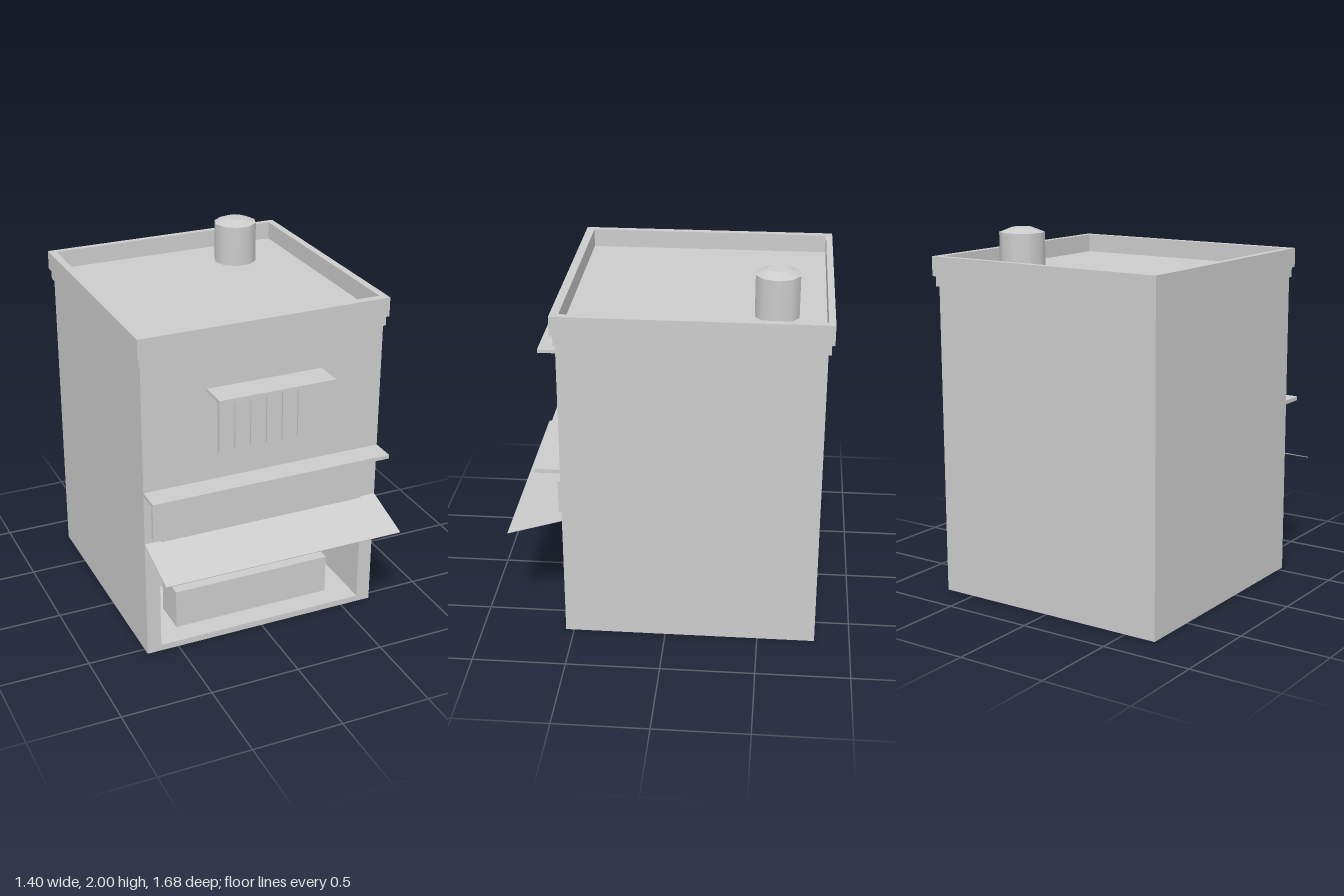
import * as THREE from 'three';

export function createModel() {
  const model = new THREE.Group();
  const plaster = new THREE.MeshStandardMaterial({ color: 0xcccccc });
  plaster.name = 'pale grey';

  function add(name, geometry) {
    const mesh = new THREE.Mesh(geometry, plaster);
    mesh.name = name;
    model.add(mesh);
    return mesh;
  }
  // Box given by its limits on each axis
  function box(name, x0, x1, y0, y1, z0, z1) {
    const mesh = add(name, new THREE.BoxGeometry(x1 - x0, y1 - y0, z1 - z0));
    mesh.position.set((x0 + x1) / 2, (y0 + y1) / 2, (z0 + z1) / 2);
    return mesh;
  }
  function rect(path, x0, x1, y0, y1) {
    path.moveTo(x0, y0);
    path.lineTo(x1, y0);
    path.lineTo(x1, y1);
    path.lineTo(x0, y1);
    path.closePath();
    return path;
  }
  function ring(outer, inner, depth) {
    const shape = rect(new THREE.Shape(), ...outer);
    shape.holes.push(rect(new THREE.Path(), ...inner));
    return new THREE.ExtrudeGeometry(shape, { depth, bevelEnabled: false });
  }

  // Building: solid rear, front part with the shop opening
  const FRONT = 0.545, BACK = -0.81, ROOM = 0;
  box('rearBody', -0.68, 0.68, 0, 1.7, BACK, ROOM);
  const front = add('frontBody', ring([-0.68, 0.68, 0, 1.7], [-0.6, 0.6, 0.035, 0.63], FRONT - ROOM));
  front.position.z = ROOM;

  // Cornice, roof deck and parapet
  box('cornice', -0.69, 0.69, 1.69, 1.75, -0.825, 0.555);
  const parapet = add('parapet', ring([-0.7, 0.7, -0.57, 0.84], [-0.66, 0.66, -0.525, 0.805], 0.105));
  parapet.rotation.x = -Math.PI / 2;
  parapet.position.y = 1.745;

  // Roof vent with bevelled cap
  const vent = new THREE.Group();
  vent.name = 'roofVent';
  const pipe = new THREE.Mesh(new THREE.CylinderGeometry(0.12, 0.12, 0.225, 10, 1, true, Math.PI / 2), plaster);
  pipe.name = 'ventPipe';
  pipe.position.y = 0.1125;
  const cap = new THREE.Mesh(new THREE.CylinderGeometry(0.055, 0.12, 0.025, 10, 1, false, Math.PI / 2), plaster);
  cap.name = 'ventCap';
  cap.position.y = 0.2375;
  vent.add(pipe, cap);
  vent.position.set(0.325, 1.75, -0.55);
  model.add(vent);

  // Slatted window with its canopy
  box('windowPanel', -0.27, 0.27, 1.12, 1.47, FRONT - 0.01, 0.555);
  for (let i = 0; i < 6; i++) {
    const x = -0.27 + i * 0.09;
    box('windowSlat', x + 0.003, x + 0.087, 1.15, 1.44, 0.55, 0.569);
  }
  box('windowCanopy', -0.325, 0.325, 1.492, 1.51, FRONT - 0.01, 0.705);

  // Ledge and blank sign board
  box('ledge', -0.68, 0.68, 0.968, 0.99, FRONT - 0.01, 0.68);
  box('signBoard', -0.64, 0.64, 0.715, 0.9, FRONT - 0.01, 0.567);
  box('signBacking', -0.59, 0.59, 0.63, 0.72, FRONT - 0.01, 0.555);

  // Sloping awning, a thin sheet
  const drop = 0.09, reach = 0.84 - FRONT;
  const awning = box('awning', -0.68, 0.68, 0, Math.hypot(drop, reach), 0, 0.004);
  awning.position.set(0, 0.64, FRONT + reach / 2);
  awning.rotation.x = Math.PI / 2 + Math.atan2(drop, reach);

  // Shop interior: counter, shelves and goods
  box('counter', -0.46, 0.46, 0.035, 0.26, 0.22, 0.42);
  for (const y of [0.21, 0.4]) box('shelf', -0.6, 0.6, y - 0.01, y, ROOM, 0.16);

  // Each item is [centre x, width, height]
  const upper = [
    [-0.56, 0.09, 0.08], [-0.5, 0.04, 0.07], [-0.44, 0.05, 0.12], [-0.37, 0.06, 0.13],
    [-0.27, 0.11, 0.08], [-0.15, 0.06, 0.11], [-0.06, 0.09, 0.08], [0.02, 0.05, 0.08],
    [0.08, 0.05, 0.08], [0.17, 0.09, 0.09], [0.27, 0.09, 0.1], [0.36, 0.05, 0.05],
    [0.43, 0.06, 0.06], [0.49, 0.05, 0.11], [0.56, 0.08, 0.09],
  ];
  const lower = [
    [-0.54, 0.12, 0.09], [-0.33, 0.05, 0.12], [-0.25, 0.09, 0.07], [-0.15, 0.07, 0.14],
    [-0.06, 0.07, 0.11], [0.01, 0.05, 0.09], [0.08, 0.07, 0.12], [0.17, 0.07, 0.08],
    [0.27, 0.09, 0.07], [0.37, 0.08, 0.13], [0.45, 0.07, 0.09], [0.54, 0.1, 0.09],
  ];
  for (const [y, goods] of [[0.4, upper], [0.21, lower]])
    for (const [x, w, h] of goods) box('shelfGoods', x - w / 2, x + w / 2, y, y + h, 0.05, 0.13);
  // Row of goods hung on the back wall
  for (let i = 0; i < 10; i++) {
    const x = -0.517 + i * 0.114;
    box('hangingGoods', x - 0.033, x + 0.033, 0.505, 0.585, ROOM, 0.04);
  }

  return model;
}
